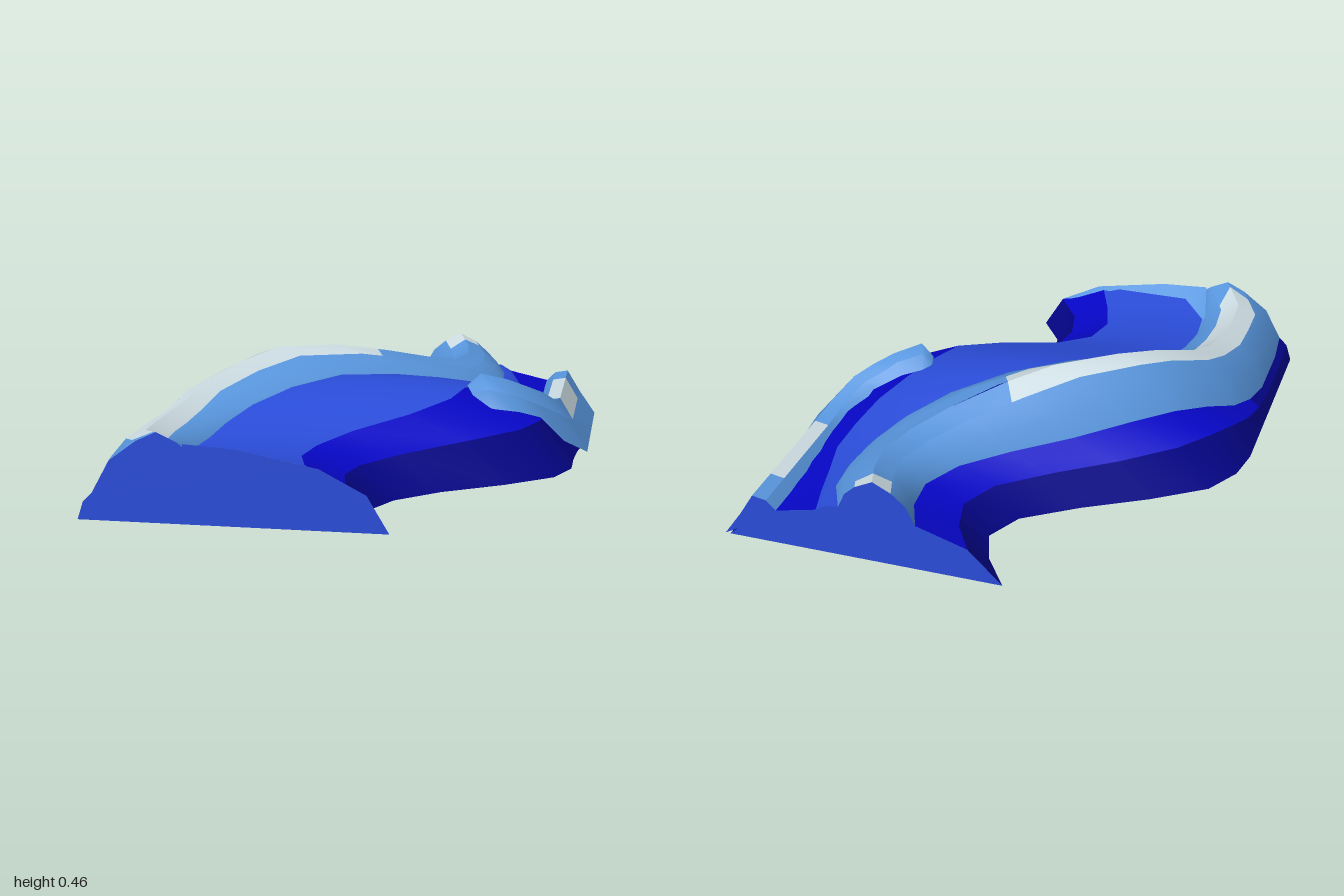
import * as THREE from 'three';

const paint = (name, color) => new THREE.MeshStandardMaterial({ name, color, side: THREE.DoubleSide });

// Evenly spaced cross-sections from back (z = -1) to front (z = 1)
const N = 15;
const Z = Array.from({ length: N }, (_, i) => -1 + (2 * i) / (N - 1));
const edgeL = [-.22, -.12, -.07, -.14, -.34, -.58, -.78, -.86, -.885, -.885, -.885, -.885, -.885, -.885, -.885];
const edgeR = [.86, .86, .86, .86, .86, .84, .83, .83, .77, .59, .36, .20, .13, .15, .25];
const lowX = [.72, .72, .72, .72, .72, .72, .71, .70, .63, .45, .22, .07, .04, .07, .17];
const lowY = [.13, .13, .13, .13, .14, .16, .18, .19, .185, .17, .145, .13, .13, .13, .135];
const highX = [.50, .54, .57, .60, .58, .54, .47, .40, .36, .22, .02, -.09, -.12, -.08, -.02];
const highY = [.18, .17, .17, .18, .21, .25, .29, .315, .30, .265, .225, .20, .195, .20, .22];
const outX = [.11, .17, .18, .10, -.06, -.27, -.45, -.60, -.70, -.78, -.82, -.84, -.84, -.84, -.83];
const outY = [.19, .18, .18, .19, .20, .22, .24, .24, .20, .14, .10, .08, .08, .08, .10];
const inX = [.41, .48, .49, .47, .41, .29, .10, -.10, -.27, -.40, -.47, -.50, -.52, -.51, -.47];
const inY = [.21, .20, .20, .21, .24, .28, .33, .35, .325, .28, .24, .215, .21, .215, .25];
const topL = [.20, .25, .27, .22, .10, -.07, -.25, -.45, -.55, -.66, -.70, -.735, -.74, -.74, -.66];
const topR = [.34, .39, .40, .37, .28, .15, -.04, -.27, -.41, -.53, -.57, -.59, -.60, -.59, -.51];
const crestY = [.345, .32, .31, .315, .35, .40, .445, .457, .42, .365, .32, .302, .30, .305, .335];

const lerp = (a, b, t) => a.map((v, k) => v + (b[k] - v) * t);

// Surface through rows of points; rows run towards +z, points towards +x
function sheet(rows) {
  const w = rows[0].length, idx = [];
  for (let i = 0; i < rows.length - 1; i++) {
    for (let j = 0; j < w - 1; j++) {
      const a = i * w + j, b = a + 1, c = a + w, d = c + 1;
      idx.push(a, c, b, b, c, d);
    }
  }
  const g = new THREE.BufferGeometry();
  g.setAttribute('position', new THREE.Float32BufferAttribute(rows.flat(2), 3));
  g.setIndex(idx);
  g.computeVertexNormals();
  return g;
}

export function createModel() {
  const group = new THREE.Group();
  const dark = paint('darkBlue', 0x04048b);
  const deep = paint('deepBlue', 0x0606c8);
  const water = paint('waterBlue', 0x2a4cd8);
  const light = paint('lightBlue', 0x5896de);
  const foam = paint('foamWhite', 0xccdce2);

  function add(name, geometry, material) {
    const mesh = new THREE.Mesh(geometry, material);
    mesh.name = name;
    group.add(mesh);
  }
  // One band between two neighbouring columns, with a crease at its borders
  const band = (name, rows, j, material) => add(name, sheet(rows.map(r => [r[j], r[j + 1]])), material);
  function endCap(name, pts) {
    const g = new THREE.ShapeGeometry(new THREE.Shape(pts.map(p => new THREE.Vector2(p[0], p[1]))));
    g.translate(0, 0, pts[0][2]);
    if (pts[0][2] < 0) {
      // Reverse the corners so that the back end faces backwards
      const ix = g.index;
      for (let i = 0; i < ix.count; i += 3) {
        const a = ix.getX(i);
        ix.setX(i, ix.getX(i + 1));
        ix.setX(i + 1, a);
      }
      g.computeVertexNormals();
    }
    add(name, g, water);
  }

  // Water body: flanks, top surface and underside
  const body = Z.map((z, i) => {
    const L = [edgeL[i], 0, z], O = [outX[i], outY[i], z], I = [inX[i], inY[i], z], H = [highX[i], highY[i], z];
    const K = [L[0] + .4 * (O[0] - L[0]), O[1] * .68, z];
    const M = lerp(I, H, .5);
    M[1] += .012;
    return [L, K, O, I, M, H, [lowX[i], lowY[i], z], [edgeR[i], 0, z]];
  });
  band('leftLowerFlank', body, 0, dark);
  band('leftUpperFlank', body.slice(0, 11), 1, deep);
  band('leftFrontFlank', body.slice(10), 1, dark);
  add('waterSurface', sheet(body.map(r => r.slice(3, 6))), water);
  band('rightUpperFlank', body, 5, deep);
  band('rightLowerFlank', body, 6, dark);
  add('underside', sheet(body.map(r => [r[7], r[0]])), dark);
  endCap('backEnd', body[0]);
  endCap('frontEnd', body[N - 1]);

  // Long foam ridge on the left
  const ridge = body.map((r, i) => {
    const z = Z[i], O = r[2], I = r[3], h = crestY[i];
    const A = [topL[i], h - .035, z], B = [topR[i], h - .035, z];
    const C = [(topL[i] + topR[i]) / 2, h, z];
    const SO = [O[0] + .4 * (A[0] - O[0]), O[1] + .62 * (A[1] - O[1]), z];
    const SI = [I[0] + .4 * (B[0] - I[0]), I[1] + .62 * (B[1] - I[1]), z];
    return [O, SO, A, C, B, SI, I];
  });
  add('leftRidgeOuterSide', sheet(ridge.map(r => r.slice(0, 3))), light);
  add('leftRidgeInnerSide', sheet(ridge.map(r => r.slice(4, 7))), light);

  // Slanted cut across the crest at the given z of its left edge, middle and right edge
  const cut = (...zs) => {
    const row = [];
    zs.forEach((z, k) => {
      const s = (z + 1) * (N - 1) / 2, i = Math.floor(s);
      row[k + 2] = lerp(ridge[i][k + 2], ridge[i + 1][k + 2], s - i);
    });
    return row;
  };
  // The crest is white at the back tip and along the front part
  const backCut = cut(-.90, -.925, -.95);
  const midCut = cut(-.32, -.26, -.20);
  const frontCut = cut(.95, .97, .88);
  for (const [j, last] of [[2, 4], [3, 5]]) {
    band('backCrestFoam', [ridge[0], backCut], j, foam);
    band('crestWater', [backCut, ...ridge.slice(1, last + 1), midCut], j, light);
    band('crestFoam', [midCut, ...ridge.slice(6, N - 1), frontCut], j, foam);
    band('frontCrestWater', [frontCut, ridge[N - 1]], j, light);
  }
  endCap('leftRidgeBackEnd', ridge[0]);
  endCap('leftRidgeFrontEnd', ridge[N - 1]);

  // Thin lip that runs from the ridge along the front edge
  const lipBack = [[-.53, .215, .82], [-.41, .25, .95], [-.1, .237, .975], [.13, .15, .985]];
  const lipFront = [[-.49, .295, 1], [-.3, .283, 1], [0, .225, 1], [.17, .136, 1]];
  add('frontLip', sheet([lipBack, lipFront]), light);
  endCap('frontLipEnd', [[-.49, .24, 1], ...lipFront]);

  // Short ridge on the right: straight, then climbing to a rounded tip
  const straight = z => [[.65, .13, z], [.70, .18, z], [.755, .19, z], [.81, .10, z], [.88, 0, z]];
  const short = [
    ...[-1, -.84, -.43].map(straight),
    [[.64, .16, -.32], [.69, .20, -.31], [.74, .212, -.30], [.81, .13, -.29], [.88, 0, -.28]],
    [[.60, .235, -.20], [.64, .258, -.19], [.69, .27, -.18], [.75, .19, -.17], [.79, .075, -.15]],
    [[.55, .26, -.17], [.58, .29, -.15], [.63, .305, -.12], [.67, .245, -.08], [.70, .195, -.04]],
    [[.50, .285, -.14], [.53, .325, -.11], [.56, .34, -.07], [.60, .285, -.02], [.62, .23, .03]],
    [[.43, .30, -.10], [.44, .35, -.06], [.46, .372, -.01], [.50, .32, .05], [.52, .25, .08]],
    [[.40, .30, -.07], [.40, .31, -.05], [.41, .32, -.01], [.43, .30, .03], [.45, .27, .05]],
  ];
  add('rightRidgeInnerSide', sheet(short.map(r => r.slice(0, 2))), light);
  add('rightRidgeOuterSide', sheet(short.map(r => r.slice(3, 5))), light);
  for (const j of [1, 2]) {
    band('rightRidgeBackTop', short.slice(0, 2), j, light);
    band('rightRidgeFoam', short.slice(1, 3), j, foam);
    band('rightRidgeFrontTop', short.slice(2), j, light);
  }
  const tip = short.at(-1);
  add('rightRidgeTip', sheet([tip, tip.map(() => [.44, .25, -.01])]), light);
  endCap('rightRidgeBackEnd', short[0]);

  return group;
}
